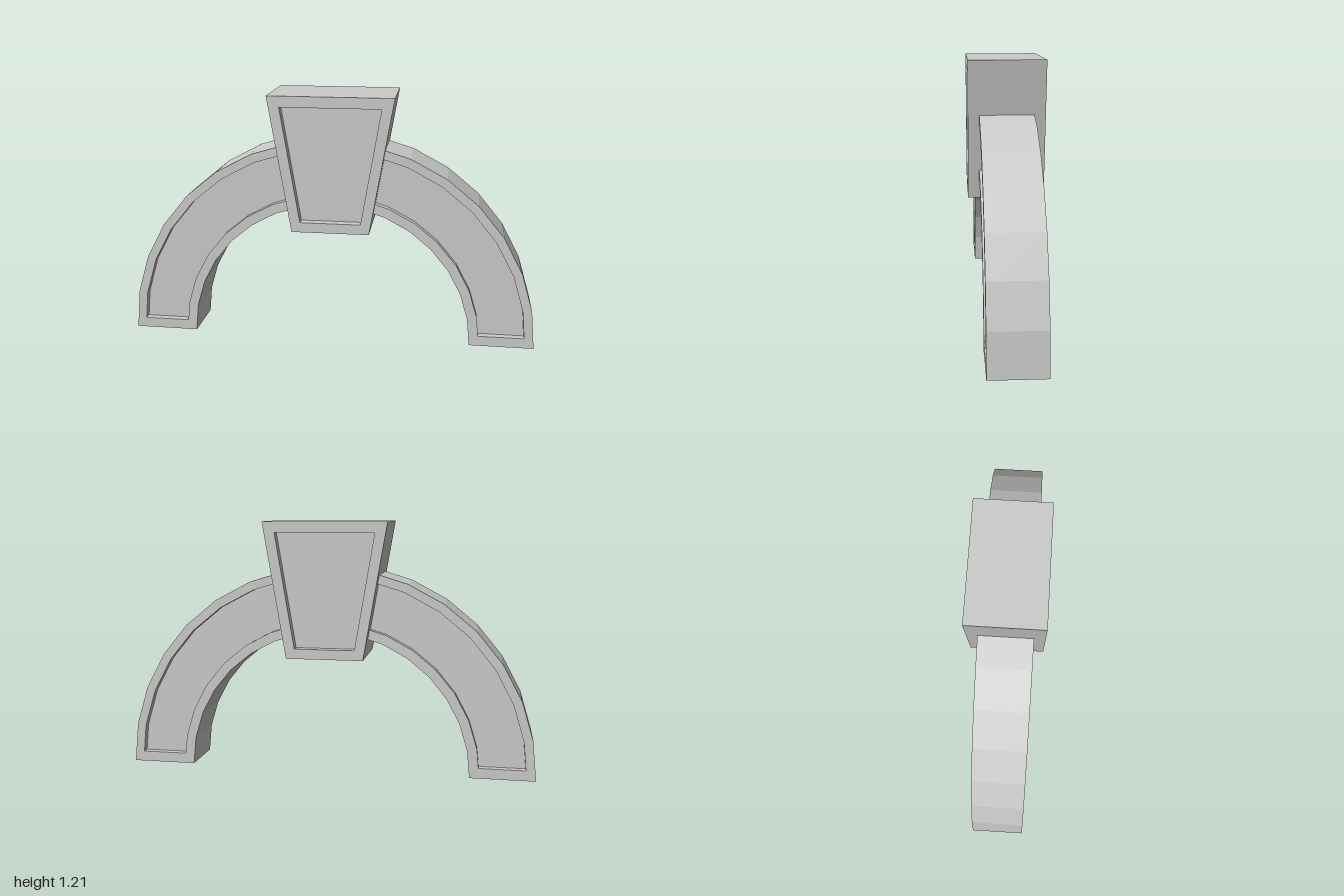
import * as THREE from 'three';

const material = new THREE.MeshStandardMaterial({ color: 0xcccccc, flatShading: true });
const SEGMENTS = 16;

// Half-ring outline whose feet are cut level at the given height
function archOutline(outer, inner, foot) {
  const arc = (r) => {
    const points = [];
    for (let i = 0; i <= SEGMENTS; i++) {
      const a = (Math.PI * i) / SEGMENTS;
      points.push(new THREE.Vector2(r * Math.cos(a), r * Math.sin(a)));
    }
    // slide the end points along the first and last facets up to the foot line
    const t = foot / points[1].y;
    points[0].lerp(points[1], t);
    points[SEGMENTS].lerp(points[SEGMENTS - 1], t);
    return points;
  };
  return [...arc(outer), ...arc(inner).reverse()];
}

// Symmetric trapezoid, wider at the top
function wedgeOutline(bottomHalf, topHalf, y0, y1) {
  return [[-bottomHalf, y0], [bottomHalf, y0], [topHalf, y1], [-topHalf, y1]]
    .map(([x, y]) => new THREE.Vector2(x, y));
}

// Block with a sunken panel on both its front and back
function panelledBlock(name, outline, panel, halfDepth, recess) {
  const group = new THREE.Group();
  group.name = name;
  const add = (part, shape, depth, z) => {
    const geometry = new THREE.ExtrudeGeometry(shape, { depth, bevelEnabled: false });
    geometry.translate(0, 0, z);
    const mesh = new THREE.Mesh(geometry, material);
    mesh.name = part;
    group.add(mesh);
  };
  const floor = halfDepth - recess;
  add(name + 'Core', new THREE.Shape(outline), 2 * floor, -floor);

  const rim = new THREE.Shape(outline);
  rim.holes.push(new THREE.Path(panel));
  add(name + 'FrontRim', rim, recess, floor);
  add(name + 'BackRim', rim, recess, -halfDepth);
  return group;
}

export function createModel() {
  const model = new THREE.Group();
  model.name = 'archway';

  // Semicircular arch standing on two feet
  model.add(panelledBlock('arch',
    archOutline(1, 0.688, 0), archOutline(0.957, 0.735, 0.05), 0.127, 0.035));

  // Wedge-shaped keystone at the crown, a touch off centre
  const keystone = panelledBlock('keystone',
    wedgeOutline(0.186, 0.298, 0.562, 1.214), wedgeOutline(0.145, 0.238, 0.61, 1.162), 0.179, 0.045);
  keystone.position.x = 0.008;
  model.add(keystone);

  return model;
}
